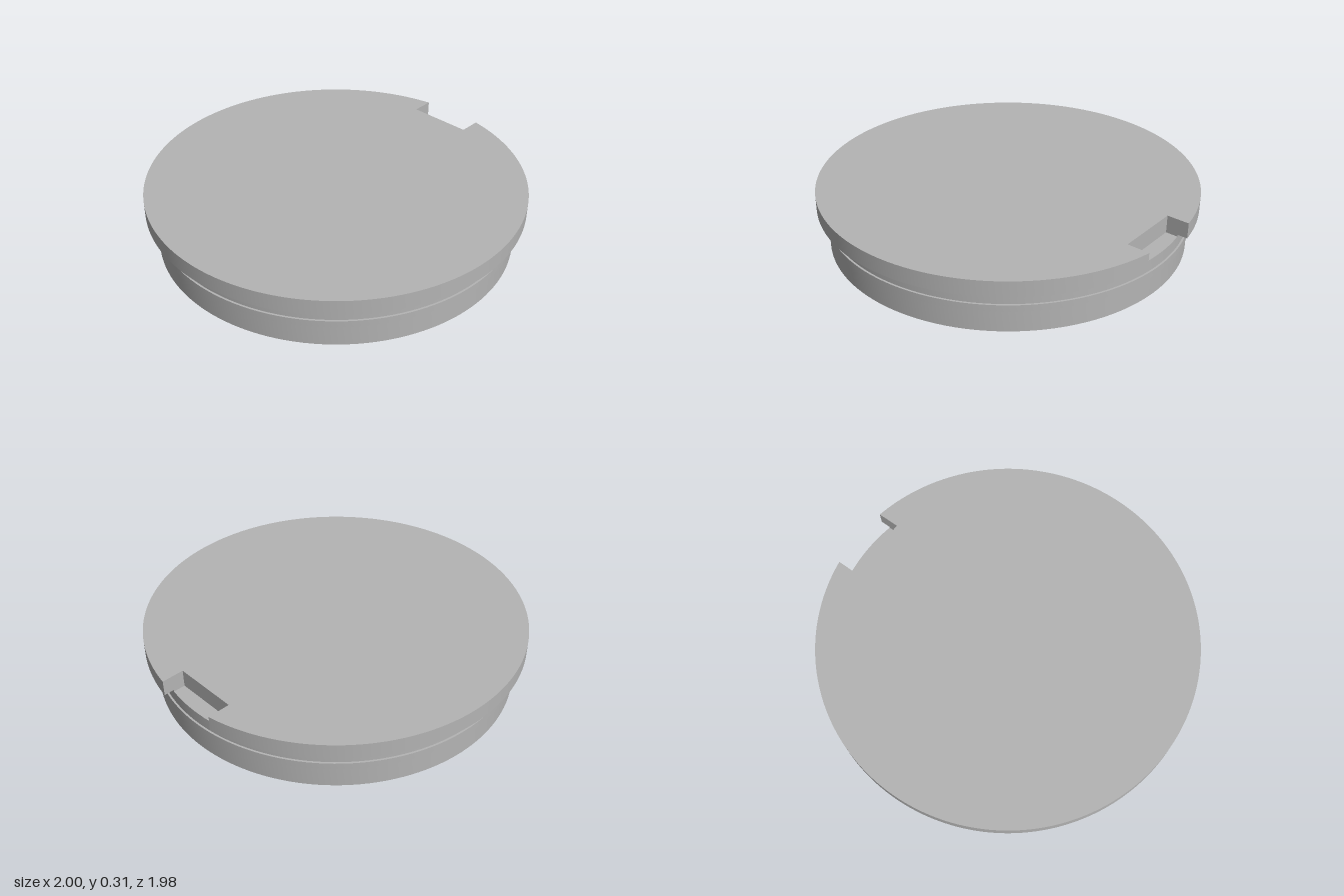
import * as THREE from 'three';
import { toCreasedNormals } from 'three/addons/utils/BufferGeometryUtils.js';

const SEGMENTS = 144;
const NOTCH_HALF = 0.175; // half width of the notch
const NOTCH_Z = 0.867; // distance from the axis to the notch's flat wall

// Disc from y0 to y1 with a rectangular notch cut into its back edge
function notchedDisc(radius, y0, y1) {
  const a = Math.asin(NOTCH_HALF / radius);
  const shape = new THREE.Shape();
  shape.absarc(0, 0, radius, Math.PI / 2 + a, Math.PI * 2.5 - a, false);
  shape.lineTo(NOTCH_HALF, NOTCH_Z);
  shape.lineTo(-NOTCH_HALF, NOTCH_Z);
  shape.closePath();
  const geometry = new THREE.ExtrudeGeometry(shape, {
    depth: y1 - y0, bevelEnabled: false, curveSegments: SEGMENTS,
  });
  geometry.rotateX(-Math.PI / 2).translate(0, y0, 0);
  return toCreasedNormals(geometry, 0.5);
}

export function createModel() {
  const model = new THREE.Group();
  model.name = 'cap';
  const grey = new THREE.MeshStandardMaterial({ color: 0xb4b4b4 });
  grey.name = 'grey';

  const add = (name, geometry) => {
    const mesh = new THREE.Mesh(geometry, grey);
    mesh.name = name;
    mesh.position.z = -0.0077; // the notch shortens the back of the rim
    model.add(mesh);
  };

  // Plug with a raised sealing ring around its middle
  const profile = [
    [0, 0], [0.947, 0], [0.947, 0.115], [0.957, 0.115],
    [0.957, 0.15], [0.947, 0.15], [0.947, 0.212], [0, 0.212],
  ].map(([r, y]) => new THREE.Vector2(r, y));
  add('plug', toCreasedNormals(new THREE.LatheGeometry(profile, SEGMENTS), 0.5));

  // Short neck and wide top rim, both cut by the notch
  add('neck', notchedDisc(0.947, 0.212, 0.222));
  add('rim', notchedDisc(1, 0.222, 0.306));

  return model;
}
